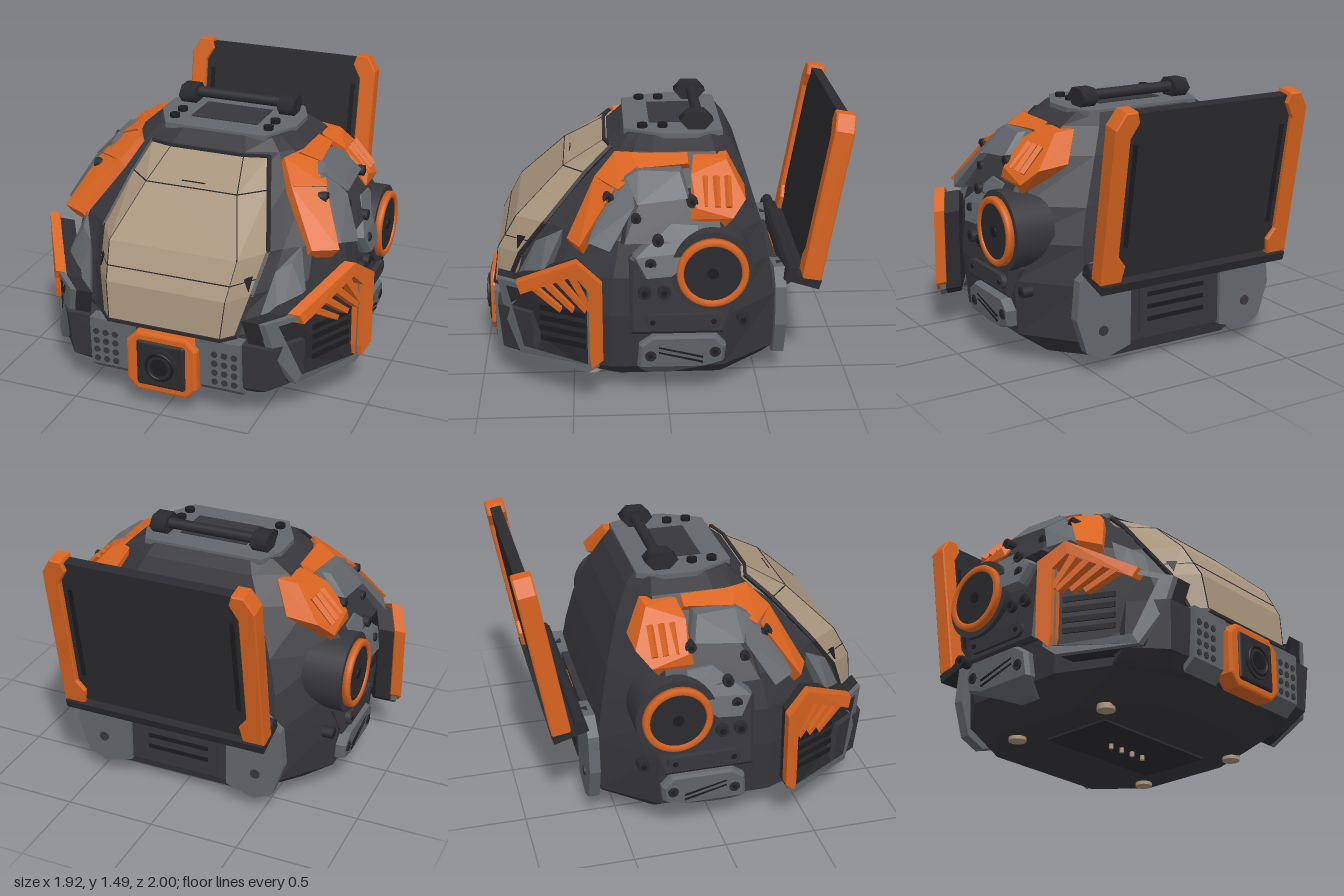
import * as THREE from 'three';
import { ConvexGeometry } from 'three/addons/geometries/ConvexGeometry.js';
import { RoundedBoxGeometry } from 'three/addons/geometries/RoundedBoxGeometry.js';

const paint = (name, color) => Object.assign(new THREE.MeshStandardMaterial({ color }), { name });
const M = {
  body: paint('charcoal', 0x37363b), dark: paint('dark charcoal', 0x2b2b2f), black: paint('black', 0x1c1c1f),
  gray: paint('slate gray', 0x63676b), orange: paint('orange', 0xd96420), tan: paint('tan visor', 0xa8947c),
};
const V = (p) => new THREE.Vector3(...p);

function add(group, name, geo, mat, pos = [0, 0, 0], rot = [0, 0, 0]) {
  const m = new THREE.Mesh(geo, mat);
  m.name = name;
  m.position.set(...pos);
  m.rotation.set(...rot);
  group.add(m);
  return m;
}
const box = (g, name, mat, size, pos, rot) => add(g, name, new THREE.BoxGeometry(...size), mat, pos, rot);
const hull = (g, name, mat, pts) => add(g, name, new ConvexGeometry(pts.map(V)), mat);
// cylinder lying along 'x', 'y' or 'z'
function disc(g, name, mat, r, len, pos, axis = 'x', seg = 20) {
  const rot = { x: [0, 0, -Math.PI / 2], y: [0, 0, 0], z: [Math.PI / 2, 0, 0] }[axis];
  return add(g, name, new THREE.CylinderGeometry(r, r, len, seg), mat, pos, rot);
}
// square rod between two points
function rod(g, name, mat, a, b, w) {
  const d = V(b).sub(V(a));
  const m = add(g, name, new THREE.BoxGeometry(w, w, d.length() + w * 0.5), mat);
  m.position.copy(V(a)).addScaledVector(d, 0.5);
  m.quaternion.setFromUnitVectors(new THREE.Vector3(0, 0, 1), d.normalize());
}
// baked mirror image of a group across x = 0
function mirrored(group, name) {
  const out = new THREE.Group();
  out.name = name;
  group.updateMatrixWorld(true);
  group.traverse((m) => {
    if (!m.isMesh) return;
    const q = m.geometry.index ? m.geometry.toNonIndexed() : m.geometry.clone();
    q.applyMatrix4(m.matrixWorld).scale(-1, 1, 1);
    for (const { array, itemSize: n } of Object.values(q.attributes))
      for (let i = 0; i < array.length; i += 3 * n)
        for (let k = 0; k < n; k++)
          [array[i + n + k], array[i + 2 * n + k]] = [array[i + 2 * n + k], array[i + n + k]];
    add(out, m.name, q, m.material);
  });
  return out;
}

// hull rings: height, then half outline (x, z) from front to back
const RINGS = [
  [0.04, [[0.25, 0.65], [0.4, 0.58], [0.5, 0.47], [0.6, 0.25], [0.6, -0.3], [0.38, -0.55]]],
  [0.17, [[0.3, 0.86], [0.47, 0.78], [0.64, 0.62], [0.78, 0.3], [0.78, -0.3], [0.55, -0.59]]],
  [0.48, [[0.3, 0.89], [0.45, 0.8], [0.66, 0.64], [0.81, 0.3], [0.81, -0.32], [0.55, -0.6]]],
  [0.69, [[0.33, 0.87], [0.5, 0.7], [0.67, 0.57], [0.8, 0.28], [0.8, -0.32], [0.53, -0.56]]],
  [0.88, [[0.36, 0.75], [0.53, 0.57], [0.66, 0.47], [0.75, 0.25], [0.75, -0.31], [0.48, -0.52]]],
  [1.13, [[0.26, 0.5], [0.46, 0.34], [0.55, 0.25], [0.61, 0.1], [0.61, -0.3], [0.38, -0.44]]],
  [1.27, [[0.21, 0.285], [0.38, 0.225], [0.44, 0.16], [0.48, 0.06], [0.48, -0.27], [0.31, -0.37]]],
  [1.33, [[0.18, 0.21], [0.32, 0.18], [0.35, 0.13], [0.38, 0.05], [0.38, -0.25], [0.28, -0.32]]],
];
function bodyGeometry() {
  const rings = RINGS.map(([y, h]) => [...h.map(([x, z]) => [x, y, z]), ...h.map(([x, z]) => [-x, y, z]).reverse()]);
  const out = [], n = rings[0].length;
  const tri = (...p) => p.forEach((q) => out.push(...q));
  for (let r = 0; r < rings.length - 1; r++)
    for (let i = 0; i < n; i++) {
      const j = (i + 1) % n, a = rings[r], b = rings[r + 1];
      tri(a[i], a[j], b[j]);
      tri(a[i], b[j], b[i]);
    }
  const lo = rings[0], hi = rings[rings.length - 1];
  for (let i = 1; i < n - 1; i++) {
    tri(hi[0], hi[i], hi[i + 1]);
    tri(lo[0], lo[i + 1], lo[i]);
  }
  const g = new THREE.BufferGeometry();
  g.setAttribute('position', new THREE.Float32BufferAttribute(out, 3));
  g.computeVertexNormals();
  return g;
}
// x of the hull's side at a given z and y
function surf(z, y) {
  let r = 0;
  while (r < RINGS.length - 2 && RINGS[r + 1][0] < y) r++;
  const [y0, a] = RINGS[r], [y1, b] = RINGS[r + 1], t = (y - y0) / (y1 - y0);
  const p = a.map((q, i) => [q[0] + (b[i][0] - q[0]) * t, q[1] + (b[i][1] - q[1]) * t]);
  let i = 0;
  while (i < p.length - 2 && p[i + 1][1] > z) i++;
  return p[i][0] + ((p[i + 1][0] - p[i][0]) * (z - p[i][1])) / (p[i + 1][1] - p[i][1]);
}
// bevelled armour pad on the side, outlined by (z, y) points
function pad(g, name, mat, pts, lift) {
  const cz = pts.reduce((s, p) => s + p[0], 0) / pts.length, cy = pts.reduce((s, p) => s + p[1], 0) / pts.length;
  hull(g, name, mat, pts.flatMap(([z, y]) => {
    const x = surf(z, y);
    return [[x - 0.06, y, z], [x + lift * 0.6, y, z], [x + lift, cy + (y - cy) * 0.93, cz + (z - cz) * 0.93]];
  }));
}
// slanted fender layer, outlined by (z, y) points; spans offsets c0..c1 in x
const fx = (z) => 0.95 - 0.52 * (z - 0.34) - 0.6 * Math.max(0, z - 0.74);
function fender(g, name, mat, pts, c0, c1, hole) {
  const s = new THREE.Shape(pts.map(([z, y]) => new THREE.Vector2(-z, y)));
  if (hole) s.holes.push(new THREE.Path(hole.map(([z, y]) => new THREE.Vector2(-z, y))));
  const geo = new THREE.ExtrudeGeometry(s, { depth: c1 - c0, bevelEnabled: false });
  const p = geo.attributes.position;
  for (let i = 0; i < p.count; i++) {
    const z = -p.getX(i);
    p.setXYZ(i, fx(z) + c0 + p.getZ(i), p.getY(i), z);
  }
  geo.computeVertexNormals();
  add(g, name, geo, mat);
}

function buildSide() {
  const g = new THREE.Group();
  g.name = 'leftSide';
  // side armour
  pad(g, 'lowerSidePad', M.body, [[0.2, 0.38], [0.2, 0.8], [0.1, 0.87], [-0.3, 0.87], [-0.36, 0.55], [-0.3, 0.38]], 0.035);
  pad(g, 'upperSidePad', M.body, [[0.24, 0.88], [-0.3, 0.88], [-0.28, 1.1], [0.12, 1.14], [0.2, 1.06]], 0.07);
  pad(g, 'skirtPlate', M.gray, [[0.15, 0.32], [0.08, 0.37], [-0.26, 0.37], [-0.31, 0.31], [-0.3, 0.22], [-0.2, 0.19], [-0.02, 0.11], [0.11, 0.11], [0.16, 0.19]], 0.055);
  pad(g, 'shoulderPlate', M.gray, [[0.18, 0.82], [-0.02, 0.99], [-0.17, 0.98], [-0.17, 0.85], [-0.02, 0.72], [0.12, 0.71]], 0.085);
  pad(g, 'frontBracket', M.gray, [[0.42, 0.88], [0.3, 0.85], [0.16, 1.07], [0.18, 1.2], [0.3, 1.13]], 0.115);
  pad(g, 'topBracket', M.gray, [[0.22, 1.18], [0.15, 1.22], [-0.08, 1.22], [-0.12, 1.1], [0.16, 1.07]], 0.115);
  for (const [z, y, r, lift] of [[0.05, 0.905, 0.03, 0.1], [0.09, 0.79, 0.03, 0.09], [0.3, 1.085, 0.03, 0.12], [-0.13, 1.085, 0.03, 0.12],
    [-0.4, 0.44, 0.032, 0.08], [0.09, 0.26, 0.03, 0.06], [-0.25, 0.28, 0.03, 0.06], [0.12, 0.62, 0.035, 0.045], [0.02, 0.62, 0.035, 0.045], [0.16, 1, 0.027, 0.08]]) {
    disc(g, 'bolt', M.dark, r, 0.06, [surf(z, y) + lift - 0.03, y, z], 'x', 12);
    disc(g, 'boltSocket', M.black, r * 0.5, 0.006, [surf(z, y) + lift + 0.002, y, z], 'x', 6);
  }
  box(g, 'sideBar', M.body, [0.05, 0.08, 0.32], [0.83, 0.46, -0.08]);
  for (const z of [0.08, -0.24]) {
    disc(g, 'sideBarEnd', M.body, 0.04, 0.05, [0.83, 0.46, z]);
    disc(g, 'sideBarBolt', M.black, 0.015, 0.008, [0.857, 0.46, z], 'x', 8);
  }
  for (const y of [0.25, 0.28]) box(g, 'skirtSlot', M.black, [0.01, 0.01, 0.24], [surf(-0.07, y) + 0.054, y, -0.07], [-0.25, 0, 0]);
  // round ear pod
  disc(g, 'podHousing', M.body, 0.22, 0.22, [0.74, 0.74, -0.23], 'x', 32);
  const ring = new THREE.LatheGeometry([[0.15, 0], [0.187, 0], [0.187, 0.03], [0.178, 0.038], [0.157, 0.038], [0.15, 0.03], [0.15, 0]].map((p) => new THREE.Vector2(...p)), 40);
  add(g, 'podRing', ring, M.orange, [0.848, 0.74, -0.23], [0, 0, -Math.PI / 2]);
  disc(g, 'podCap', M.dark, 0.152, 0.03, [0.86, 0.74, -0.23], 'x', 32);
  disc(g, 'podHub', M.black, 0.03, 0.01, [0.877, 0.74, -0.23]);
  // orange brow brace
  const brace = (name, pts) => hull(g, name, M.orange, pts.flatMap(([x, y, z]) => [[x, y, z], [x - 0.05, y - 0.06, z - 0.02]]));
  brace('braceTop', [[0.49, 1.27, -0.12], [0.57, 1.235, -0.12], [0.48, 1.27, 0.18], [0.59, 1.22, 0.14]]);
  brace('braceBrow', [[0.42, 1.26, 0.26], [0.48, 1.27, 0.13], [0.59, 1.22, 0.12], [0.66, 1.13, 0.25], [0.5, 1.15, 0.37]]);
  brace('braceCheek', [[0.5, 1.15, 0.37], [0.66, 1.13, 0.27], [0.8, 0.87, 0.455], [0.67, 0.87, 0.52]]);
  // orange rear cap with raised ribs
  hull(g, 'rearCap', M.orange, [[0.44, 1.26, -0.33], [0.5, 1.26, -0.15], [0.55, 1.25, -0.32], [0.53, 1.1, -0.42], [0.7, 1.08, -0.41], [0.77, 1, -0.34],
    [0.74, 0.94, -0.3], [0.77, 1.0, -0.12], [0.77, 1.06, -0.15], [0.64, 1.2, -0.13], [0.45, 1.1, -0.3], [0.6, 0.95, -0.25]]);
  for (const z of [-0.2, -0.26, -0.32]) rod(g, 'capRib', M.orange, [0.64, 1.18, z], [0.745, 1.06, z], 0.026);
  // cheek plate and bumper corner
  hull(g, 'cheekPlate', M.gray, [[0.62, 0.9, 0.54], [0.6, 0.84, 0.63], [0.53, 0.8, 0.69], [0.47, 0.5, 0.84], [0.6, 0.46, 0.83], [0.7, 0.64, 0.67], [0.55, 0.5, 0.6]]);
  hull(g, 'bumperCorner', M.body, [[0.2, 0.14, 0.83], [0.48, 0.14, 0.81], [0.68, 0.16, 0.6], [0.2, 0.2, 0.9], [0.56, 0.2, 0.88], [0.7, 0.22, 0.7],
    [0.2, 0.46, 0.91], [0.58, 0.46, 0.9], [0.71, 0.46, 0.72], [0.4, 0.46, 0.6], [0.3, 0.14, 0.6]]);
  // perforated front panel
  hull(g, 'frontPanel', M.gray, [0.18, 0.43].flatMap((x) => [[x, 0.13, 0.85], [x, 0.19, 0.92], [x, 0.47, 0.93], [x, 0.47, 0.85]]));
  for (let i = 0; i < 3; i++)
    for (let j = 0; j < 4; j++) disc(g, 'panelHole', M.body, 0.018, 0.008, [0.285 + i * 0.055, 0.225 + j * 0.055, 0.922 + j * 0.002], 'z', 12);
  // slanted vent fender
  const recess = [[0.85, 0.58], [0.76, 0.6], [0.47, 0.74], [0.42, 0.68], [0.42, 0.25], [0.76, 0.27]];
  const outline = [[0.9, 0.6], [0.8, 0.62], [0.47, 0.79], [0.36, 0.7], [0.36, 0.25], [0.42, 0.2], [0.78, 0.22], [0.86, 0.4]];
  fender(g, 'fenderBacking', M.dark, outline, -0.14, -0.045);
  fender(g, 'fenderFrame', M.gray, outline, -0.05, -0.01, recess);
  fender(g, 'fenderTrim', M.orange, [[0.79, 0.63], [0.47, 0.82], [0.34, 0.72], [0.34, 0.3], [0.4, 0.24], [0.41, 0.3], [0.41, 0.67], [0.48, 0.745], [0.77, 0.575]], -0.05, 0.012);
  for (let i = 0; i < 4; i++) {
    const y = 0.32 + i * 0.058;
    fender(g, 'ventGap', M.black, [[0.67, y], [0.43, y], [0.43, y + 0.03], [0.67, y + 0.03]], -0.045, -0.038);
    // fins fan down from the trim
    const z = 0.7 - i * 0.065, top = 0.62 + i * 0.037, end = Math.max(z - 0.15, 0.4), foot = 0.53 + i * 0.012;
    fender(g, 'trimFin', M.orange, [[z + 0.015, top], [z - 0.015, top + 0.02], [end, foot + 0.012], [end + 0.012, foot - 0.012]], -0.04, 0);
  }
  // rear wing plate
  const wing = new THREE.Shape([[0.29, 0.58], [0.5, 0.61], [0.6, 0.53], [0.62, 0.32], [0.56, 0.13], [0.45, 0.08], [0.29, 0.13]].map((p) => new THREE.Vector2(...p)));
  add(g, 'rearWing', new THREE.ExtrudeGeometry(wing, { depth: 0.06, bevelEnabled: false }), M.gray, [0, 0, -0.655]);
  disc(g, 'rearBolt', M.body, 0.028, 0.012, [0.46, 0.24, -0.656], 'z', 12);
  // top handle mount and plate bolts
  disc(g, 'handleMount', M.dark, 0.09, 0.09, [0.295, 1.395, -0.18], 'x', 6).scale.set(0.62, 1, 1);
  for (const z of [0, 0.11]) disc(g, 'topBolt', M.black, 0.028, 0.025, [0.275, 1.355, z], 'y', 10);
  // underside feet
  for (const z of [0.4, -0.25]) disc(g, 'foot', M.tan, 0.048, 0.03, [0.51, 0.035, z], 'y');
  return g;
}

// visor: height, outer (x, z), inner (x, z)
const VISOR = [[0.48, 0.38, 0.86, 0.315, 0.93], [0.69, 0.435, 0.78, 0.335, 0.905], [0.88, 0.47, 0.64, 0.36, 0.8], [1.13, 0.39, 0.42, 0.26, 0.54], [1.26, 0.34, 0.28, 0.21, 0.315]];
function buildVisor() {
  const g = new THREE.Group();
  g.name = 'visor';
  hull(g, 'visorGlass', M.tan, VISOR.flatMap(([y, xo, zo, xi, zi]) => [1, -1].flatMap((s) =>
    [[s * xo, y, zo], [s * xi, y, zi], [s * xo * 0.97, y - 0.02, zo - 0.04]])));
  for (const s of [1, -1]) {
    for (let i = 0; i < 4; i++) {
      const [a, b] = [VISOR[i], VISOR[i + 1]];
      rod(g, 'visorFrame', M.dark, [s * a[1], a[0], a[2]], [s * b[1], b[0], b[2]], 0.02);
      rod(g, 'visorSeam', M.dark, [s * a[3], a[0], a[4]], [s * b[3], b[0], b[4]], 0.004);
    }
    for (const i of [0, 4]) rod(g, 'visorRim', M.dark, [s * VISOR[i][1], VISOR[i][0], VISOR[i][2]], [s * VISOR[i][3], VISOR[i][0], VISOR[i][4]], 0.018);
    for (const [y, xo, zo, xi, zi] of [VISOR[3], [0.765, 0.449, 0.725, 0.345, 0.864]]) rod(g, 'visorSeam', M.dark, [s * xo, y, zo], [s * xi, y, zi], 0.005);
    hull(g, 'visorMark', M.black, [[0.385, 0.785, 0.785], [0.42, 0.785, 0.738], [0.415, 0.715, 0.787]].flatMap(([x, y, z]) => [[s * x, y, z], [s * (x + 0.009), y, z + 0.009]]));
  }
  for (const [y, x, z, w] of [[0.48, 0.315, 0.93, 0.018], [0.765, 0.345, 0.864, 0.005], [1.13, 0.26, 0.54, 0.005], [1.26, 0.21, 0.315, 0.018], [1.15, 0.065, 0.506, 0.006]])
    rod(g, 'visorLine', M.dark, [-x, y, z], [x, y, z], w);
  return g;
}

function buildScreen() {
  const g = new THREE.Group();
  g.name = 'rearScreen';
  g.position.set(0, 0.575, -0.793);
  g.rotation.x = -0.17;
  box(g, 'screenPanel', M.dark, [0.98, 0.89, 0.06], [0, 0.455, 0]);
  for (const s of [1, -1]) {
    const f = new THREE.Shape([[0.47, 0], [0.58, 0], [0.58, 0.83], [0.53, 0.91], [0.47, 0.91], [0.455, 0.86], [0.5, 0.78], [0.5, 0.14], [0.455, 0.08]].map(([x, y]) => new THREE.Vector2(s * x, y)));
    add(g, 'screenFrame', new THREE.ExtrudeGeometry(f, { depth: 0.09, bevelThickness: 0.008, bevelSize: 0.006, bevelSegments: 1 }), M.orange, [0, 0, -0.045]);
    for (const z of [-0.03, 0.03]) box(g, 'screenSlot', M.black, [0.025, 0.56, 0.008], [s * 0.45, 0.46, z]);
  }
  return g;
}

export function createModel() {
  const model = new THREE.Group();
  model.name = 'helmetPod';
  add(model, 'body', bodyGeometry(), M.body);
  const left = buildSide();
  model.add(left, mirrored(left, 'rightSide'), buildVisor(), buildScreen());
  // front lens unit
  const oct = (w, h, c) => new THREE.Shape([[w, c - h], [w, h - c], [w - c, h], [c - w, h], [-w, h - c], [-w, c - h], [c - w, -h], [w - c, -h]].map((p) => new THREE.Vector2(...p)));
  const bevel = (depth) => ({ depth, bevelThickness: 0.015, bevelSize: 0.015, bevelOffset: -0.015, bevelSegments: 2 });
  add(model, 'lensFrame', new THREE.ExtrudeGeometry(oct(0.2, 0.175, 0.06), bevel(0.075)), M.orange, [0, 0.285, 0.88]);
  add(model, 'lensPlate', new RoundedBoxGeometry(0.28, 0.27, 0.05, 2, 0.02), M.dark, [0, 0.285, 0.957]);
  disc(model, 'lensBarrel', M.dark, 0.1, 0.03, [0, 0.285, 0.98], 'z', 32);
  add(model, 'lensRing', new THREE.TorusGeometry(0.075, 0.01, 8, 32), M.black, [0, 0.285, 0.99]);
  disc(model, 'lensGlass', M.black, 0.05, 0.008, [0, 0.285, 0.995], 'z', 24);
  // top plate and handle
  const top = new THREE.Shape([[0.34, 0.32], [0.4, 0.18], [0.4, 0], [0.29, -0.21], [-0.29, -0.21], [-0.4, 0], [-0.4, 0.18], [-0.34, 0.32]].map((p) => new THREE.Vector2(...p)));
  add(model, 'topPlate', new THREE.ExtrudeGeometry(top, { depth: 0.03, bevelEnabled: false }), M.gray, [0, 1.315, 0], [-Math.PI / 2, 0, 0]);
  box(model, 'topInset', M.body, [0.39, 0.008, 0.25], [0, 1.346, -0.055]);
  disc(model, 'handleBar', M.dark, 0.03, 0.56, [0, 1.4, -0.19], 'x', 16);
  // rear vent, hinge shelf
  box(model, 'rearVent', M.body, [0.58, 0.44, 0.04], [0, 0.36, -0.615]);
  box(model, 'rearVentPlate', M.body, [0.46, 0.36, 0.02], [0, 0.36, -0.64]);
  for (let i = 0; i < 4; i++) box(model, 'rearSlot', M.black, [0.36, 0.025, 0.008], [0, 0.25 + i * 0.07, -0.65]);
  box(model, 'rearLatch', M.orange, [0.2, 0.03, 0.04], [0, 0.555, -0.66]);
  box(model, 'hingeShelf', M.dark, [1.16, 0.05, 0.2], [0, 0.56, -0.745], [-0.3, 0, 0]);
  disc(model, 'hingeRod', M.dark, 0.03, 1.16, [0, 0.605, -0.69], 'x', 12);
  for (const s of [1, -1])
    hull(model, 'hingeBracket', M.dark, [0.38, 0.46].flatMap((x) => [[s * x, 0.6, -0.62], [s * x, 0.47, -0.65], [s * x, 0.55, -0.78], [s * x, 0.58, -0.76]]));
  // underside plate and contact pins
  box(model, 'bottomPlate', M.dark, [0.8, 0.02, 0.42], [0, 0.037, 0.08]);
  for (let i = 0; i < 4; i++) disc(model, 'contactPin', M.tan, 0.013, 0.04, [-0.126 + i * 0.084, 0.02, 0.08], 'y', 10);
  return model;
}
